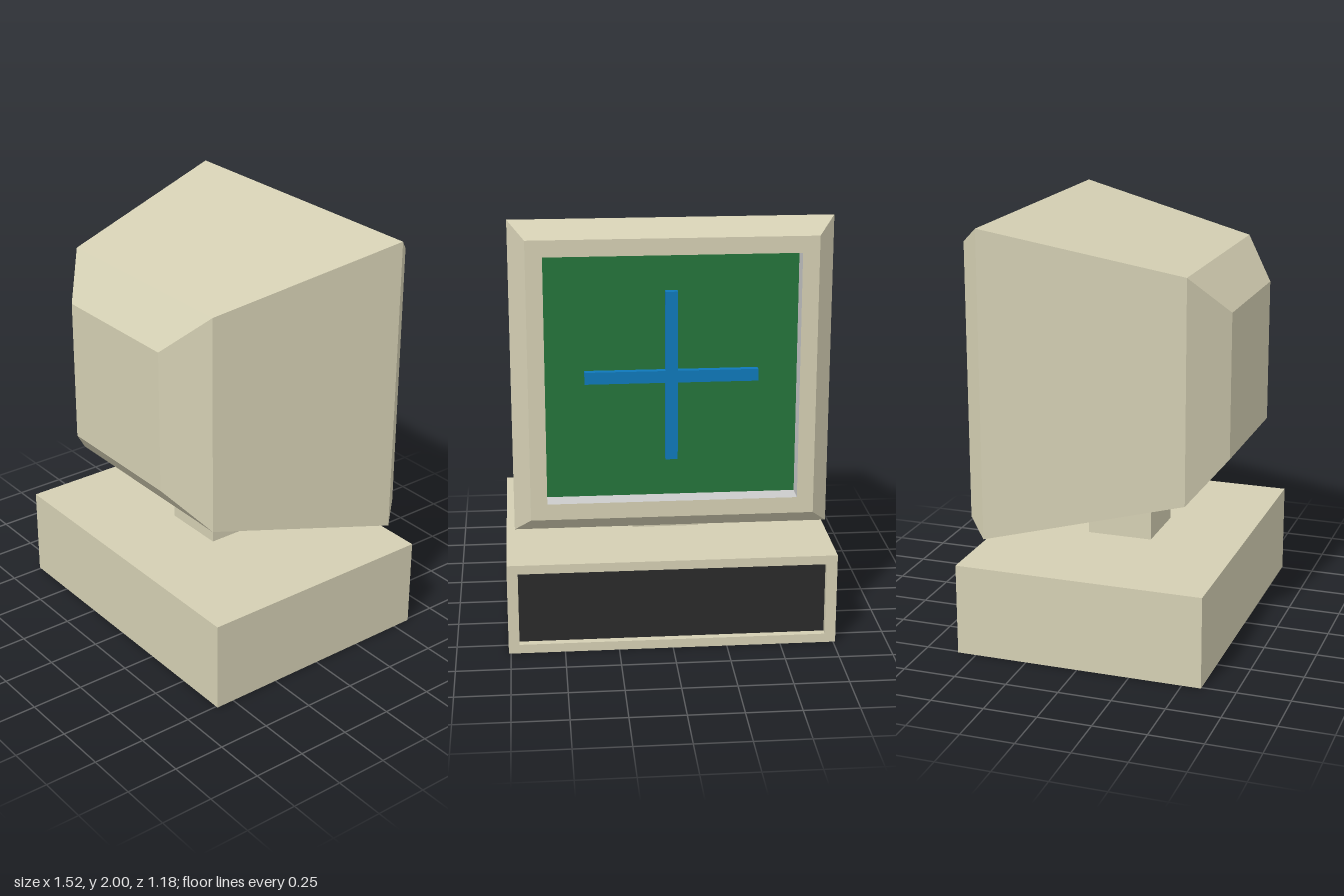
import * as THREE from 'three';

const paint = (color) => new THREE.MeshStandardMaterial({ color, flatShading: true });
const beige = paint(0xd4cfb3);
const grey = paint(0xcccccc);
const green = paint(0x25743a);
const blue = paint(0x0f78ba);
const dark = paint(0x2a2a2a);

// Rectangular shell lofted through rings [halfWidth, halfHeight, z], running from +z to -z
// on the outside and back inwards for a recess; the first ring may be capped.
function shell(rings, capFirst) {
  const corners = [[1, 1], [-1, 1], [-1, -1], [1, -1]];
  const pos = [];
  const quad = (a, b, c, d) => pos.push(...a, ...b, ...c, ...a, ...c, ...d);
  const loops = rings.map(([w, h, z]) => corners.map(([x, y]) => [x * w, y * h, z]));
  if (capFirst) quad(...loops[0]);
  for (let i = 0; i < loops.length - 1; i++) {
    for (let k = 0; k < 4; k++) {
      const n = (k + 1) % 4;
      quad(loops[i][k], loops[i + 1][k], loops[i + 1][n], loops[i][n]);
    }
  }
  const g = new THREE.BufferGeometry();
  g.setAttribute('position', new THREE.Float32BufferAttribute(pos, 3));
  g.computeVertexNormals();
  return g;
}

function add(parent, name, geometry, material, x = 0, y = 0, z = 0) {
  const mesh = new THREE.Mesh(geometry, material);
  mesh.name = name;
  mesh.position.set(x, y, z);
  parent.add(mesh);
  return mesh;
}

// Flat panel facing -z
function panel(parent, name, w, h, z, material) {
  add(parent, name, new THREE.PlaneGeometry(w, h), material, 0, 0, z).rotation.y = Math.PI;
}

export function createModel() {
  const model = new THREE.Group();
  model.name = 'desktopComputer';

  // Base unit with a shallow recess in its -z side
  const base = new THREE.Group();
  base.name = 'baseUnit';
  base.position.y = 0.2175;
  model.add(base);
  add(base, 'baseCase', shell([
    [0.76, 0.2175, 0.59], [0.76, 0.2175, -0.59],
    [0.71, 0.175, -0.59], [0.71, 0.175, -0.555],
  ], true), beige);
  panel(base, 'basePanel', 1.42, 0.35, -0.555, dark);

  // Neck, reaching up into the monitor
  add(model, 'neck', new THREE.BoxGeometry(0.315, 0.335, 0.315), beige, 0, 0.5925, 0);

  // Monitor: stepped tapering case, screen on the -z side
  const monitor = new THREE.Group();
  monitor.name = 'monitor';
  monitor.position.y = 1.282;
  model.add(monitor);
  add(monitor, 'monitorCase', shell([
    [0.34, 0.34, 0.59], [0.523, 0.523, 0.435],
    [0.718, 0.718, -0.465], [0.643, 0.643, -0.555], [0.568, 0.568, -0.555],
  ], true), beige);
  add(monitor, 'screenRecess', shell([[0.568, 0.568, -0.555], [0.568, 0.568, -0.46]], false), grey);
  panel(monitor, 'screen', 1.136, 1.136, -0.46, green);

  // Raised cross on the screen
  const cross = new THREE.Group();
  cross.name = 'screenCross';
  cross.position.z = -0.472;
  monitor.add(cross);
  add(cross, 'crossBarHorizontal', new THREE.BoxGeometry(0.78, 0.055, 0.04), blue);
  for (const s of [1, -1]) {
    add(cross, 'crossBarVertical', new THREE.BoxGeometry(0.055, 0.3625, 0.04), blue, 0, s * 0.20875, 0);
  }

  return model;
}
